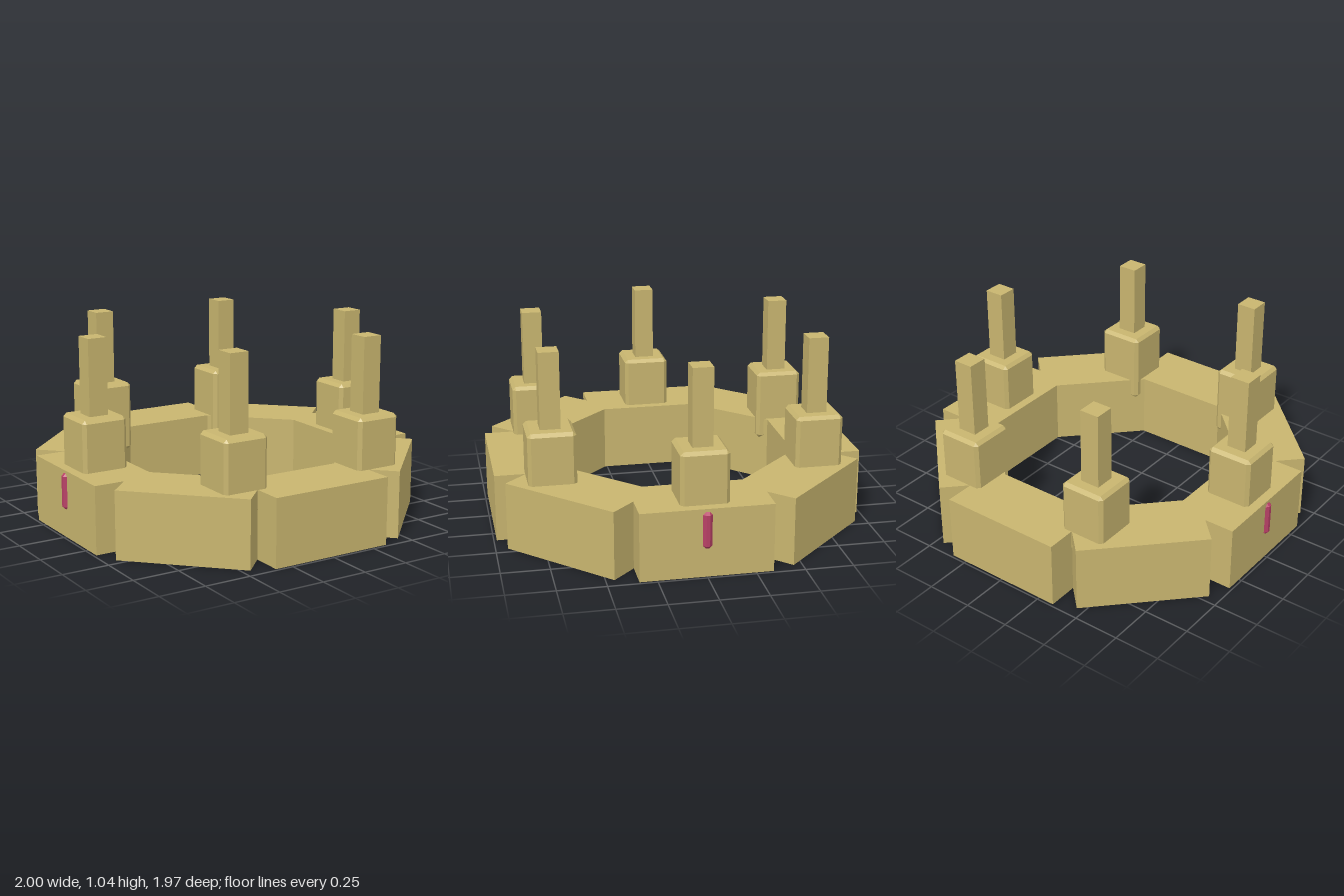
import * as THREE from 'three';
import { ConvexGeometry } from 'three/addons/geometries/ConvexGeometry.js';

// Box with every edge cut by a flat chamfer
function chamferBox(w, h, d, c) {
  const pts = [];
  for (const sx of [-1, 1]) for (const sy of [-1, 1]) for (const sz of [-1, 1]) {
    const x = w / 2, y = h / 2, z = d / 2;
    pts.push(
      new THREE.Vector3(sx * x, sy * (y - c), sz * (z - c)),
      new THREE.Vector3(sx * (x - c), sy * y, sz * (z - c)),
      new THREE.Vector3(sx * (x - c), sy * (y - c), sz * z));
  }
  return new ConvexGeometry(pts);
}

export function createModel() {
  const model = new THREE.Group();
  const sand = new THREE.MeshStandardMaterial({ color: 0xc8b56f });
  sand.name = 'sand';
  const rose = new THREE.MeshStandardMaterial({ color: 0xb84066 });
  rose.name = 'rose';

  const add = (parent, name, geometry, material, x, y, z) => {
    const mesh = new THREE.Mesh(geometry, material);
    mesh.name = name;
    mesh.position.set(x, y, z);
    parent.add(mesh);
    return mesh;
  };

  // Ring of eight wall segments
  const ring = new THREE.Group();
  ring.name = 'ring';
  model.add(ring);
  const wall = new THREE.BoxGeometry(0.68, 0.36, 0.352);
  for (let i = 0; i < 8; i++) {
    const a = i * Math.PI / 4, r = 0.809;
    add(ring, 'wallSegment', wall, sand, r * Math.sin(a), 0.18, r * Math.cos(a)).rotation.y = a;
  }

  // Six towers, all square to the axes: chamfered block and thin post
  const block = chamferBox(0.25, 0.39, 0.25, 0.018);
  const post = new THREE.BoxGeometry(0.106, 0.42, 0.106);
  for (let i = 0; i < 6; i++) {
    const a = i * Math.PI / 3;
    const tower = new THREE.Group();
    tower.name = 'tower';
    tower.position.set(0.808 * Math.cos(a), 0, 0.808 * Math.sin(a));
    model.add(tower);
    add(tower, 'towerBlock', block, sand, 0, 0.44, 0);
    add(tower, 'towerPost', post, sand, 0, 0.83, 0);
  }

  // Small upright markers on the two side walls
  const marker = chamferBox(0.05, 0.195, 0.05, 0.016);
  for (const s of [-1, 1]) add(model, 'sideMarker', marker, rose, s * 0.975, 0.248, 0);

  return model;
}
